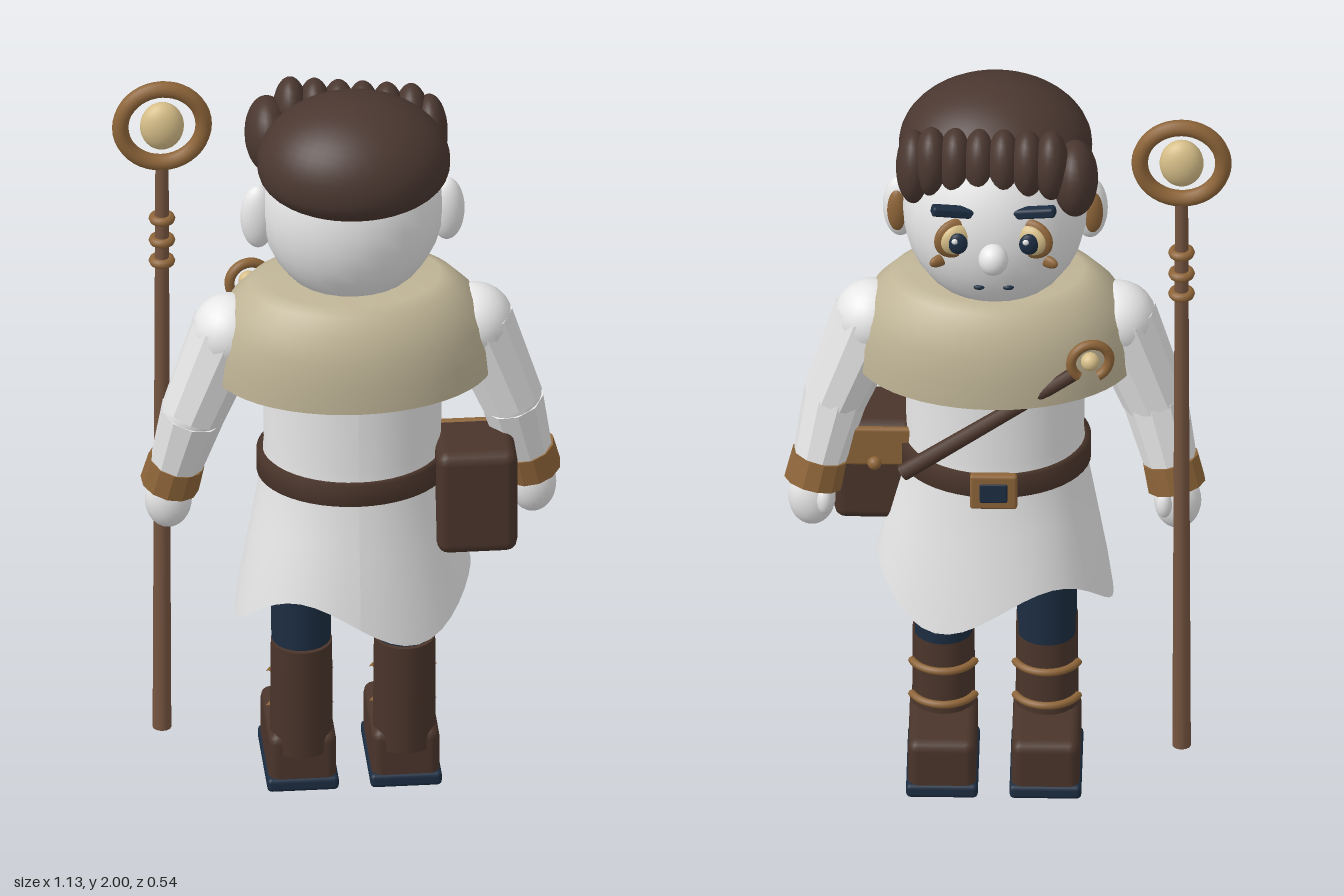
import * as THREE from 'three';
import { RoundedBoxGeometry } from 'three/addons/geometries/RoundedBoxGeometry.js';

const mat = (name, color, double) => {
  const m = new THREE.MeshStandardMaterial({ color });
  m.name = name;
  if (double) m.side = THREE.DoubleSide;
  return m;
};

export function createModel() {
  const white = mat('white', 0xececec, true);
  const cream = mat('cream', 0xbfb496, true);
  const hairBrown = mat('hair brown', 0x4a3730);
  const leather = mat('dark leather', 0x4a352b);
  const navy = mat('navy', 0x1c2d42);
  const tan = mat('tan leather', 0x8e6539);
  const wood = mat('staff wood', 0x765540);
  const gold = mat('pale gold', 0xd6be88);

  const root = new THREE.Group();
  root.name = 'figure';
  const body = new THREE.Group();
  body.name = 'body';
  body.position.x = 0.036;
  root.add(body);

  const add = (name, geo, m, x = 0, y = 0, z = 0) => {
    const mesh = new THREE.Mesh(geo, m);
    mesh.name = name;
    mesh.position.set(x, y, z);
    body.add(mesh);
    return mesh;
  };
  const ball = (name, m, x, y, z, rx, ry = rx, rz = rx) => {
    const b = add(name, new THREE.SphereGeometry(1, 24, 16), m, x, y, z);
    b.scale.set(rx, ry, rz);
    return b;
  };
  const block = (name, m, x, y, z, w, h, d, r) =>
    add(name, new RoundedBoxGeometry(w, h, d, 2, r), m, x, y, z);
  // Tapered rod from point a to point b
  const limb = (name, m, a, b, ra, rb, sides = 16, flat = false) => {
    const p = new THREE.Vector3(...a), q = new THREE.Vector3(...b);
    const dir = q.clone().sub(p);
    let g = new THREE.CylinderGeometry(rb, ra, dir.length(), sides);
    if (flat) { g = g.toNonIndexed(); g.computeVertexNormals(); }
    const c = p.add(q).multiplyScalar(0.5);
    const mesh = add(name, g, m, c.x, c.y, c.z);
    mesh.quaternion.setFromUnitVectors(new THREE.Vector3(0, 1, 0), dir.normalize());
    return mesh;
  };
  // Oval turned shape: profile of [half width, y], squashed in z
  const oval = (name, m, pts, ratio) => {
    const g = new THREE.LatheGeometry(pts.map(p => new THREE.Vector2(...p)), 48);
    g.scale(1, 1, ratio);
    return add(name, g, m, 0, 0, 0.012);
  };

  // Tunic, with a wavy hem of three points
  const tunic = oval('tunic', white, [[0.3, 0.57], [0.285, 0.66], [0.26, 0.78], [0.235, 0.9],
    [0.225, 1.0], [0.228, 1.2], [0.22, 1.4], [0, 1.45]], 0.8);
  const tp = tunic.geometry.attributes.position;
  for (let i = 0; i < tp.count; i++) {
    const y = tp.getY(i);
    const k = Math.max(0, (0.9 - y) / 0.33);
    tp.setY(i, y + 0.066 * k * Math.cos(3 * Math.atan2(tp.getZ(i) / 0.8, tp.getX(i))));
  }
  tunic.geometry.computeVertexNormals();

  // Shoulder cape
  oval('cape', cream, [[0.357, 1.21], [0.354, 1.28], [0.34, 1.35], [0.31, 1.41], [0.265, 1.455],
    [0.225, 1.472], [0, 1.478]], 0.72);

  // Belt and buckle
  oval('belt', leather, [[0.225, 0.912], [0.243, 0.914], [0.243, 0.974], [0.225, 0.976]], 0.86);
  block('buckle', tan, 0, 0.94, -0.203, 0.12, 0.1, 0.026, 0.008);
  block('buckleCentre', navy, 0, 0.94, -0.213, 0.07, 0.055, 0.014, 0.004);

  // Pouch on the hip
  block('pouch', leather, 0.305, 0.875, 0.075, 0.205, 0.29, 0.2, 0.03);
  block('pouchFlap', tan, 0.305, 0.96, -0.028, 0.19, 0.11, 0.02, 0.008);
  ball('pouchButton', tan, 0.305, 0.915, -0.04, 0.018);

  // Wand across the chest, curled at its tip
  limb('wand', leather, [0.23, 0.99, -0.2], [-0.2, 1.3, -0.215], 0.022, 0.018, 12);
  const curl = add('wandCurl', new THREE.TorusGeometry(0.05, 0.013, 10, 28, 5.2), tan, -0.245, 1.34, -0.215);
  curl.rotation.set(0, 0.25, -0.9);
  ball('wandBead', gold, -0.245, 1.34, -0.215, 0.024);

  // Head, ears and face
  ball('head', white, 0, 1.675, -0.01, 0.235, 0.265, 0.212);
  ball('nose', white, 0, 1.655, -0.232, 0.038, 0.042, 0.038);
  for (const s of [-1, 1]) {
    ball('ear', white, s * 0.24, 1.657, 0.016, 0.045, 0.088, 0.036);
    ball('innerEar', tan, s * 0.247, 1.657, -0.004, 0.027, 0.062, 0.022);
    const rim = ball('eyeRim', tan, s * 0.095, 1.695, -0.193, 0.06, 0.057, 0.02);
    rim.rotation.y = s * 0.4;
    ball('eye', gold, s * 0.094, 1.697, -0.203, 0.044, 0.043, 0.022).rotation.y = s * 0.4;
    ball('pupil', navy, s * 0.09, 1.697, -0.224, 0.025, 0.03, 0.014);
    ball('glint', white, s * 0.09 + 0.008, 1.71, -0.236, 0.008, 0.008, 0.005);
    const brow = block('brow', navy, s * 0.1, 1.777, -0.198, 0.12, 0.027, 0.03, 0.008);
    brow.rotation.set(0, s * 0.25, s * 0.22);
    ball('cheek', tan, s * 0.137, 1.615, -0.176, 0.03, 0.017, 0.012).rotation.y = s * 0.6;
    ball('mouthCorner', navy, s * 0.037, 1.545, -0.19, 0.014, 0.007, 0.008);
  }

  // Hair cap: rounded above, flatter below
  const cap = new THREE.SphereGeometry(1, 40, 28);
  const cp = cap.attributes.position;
  for (let i = 0; i < cp.count; i++) {
    const y = cp.getY(i);
    cp.setXYZ(i, cp.getX(i) * 0.245,
      y > 0 ? 0.175 * y : -0.12 * Math.pow(-y, 0.8), cp.getZ(i) * 0.21);
  }
  cap.computeVertexNormals();
  add('hairCap', cap, hairBrown, 0, 1.825, 0.05);

  // Fringe of curls: x, y, z, width, height, depth
  const curls = [[-0.205, 1.825, -0.11, 0.058, 0.1, 0.092]];
  for (let i = 0; i < 6; i++)
    curls.push([-0.145 + i * 0.061, 1.875 - i * 0.003, -0.13 + i * 0.007, 0.045, 0.095, 0.068]);
  curls.push([0.205, 1.832, -0.075, 0.045, 0.1, 0.075]);
  curls.forEach(c => ball('fringeCurl', hairBrown, ...c));

  for (const s of [-1, 1]) {
    // Arms
    const elbow = [s * 0.405, 1.09, 0.005], wrist = [s * 0.455, 0.88, -0.035];
    ball('shoulder', white, s * 0.312, 1.325, 0.012, 0.098);
    limb('upperArm', white, [s * 0.315, 1.33, 0.012], elbow, 0.097, 0.083, 10, true);
    ball('elbow', white, ...elbow, 0.078);
    limb('forearm', white, elbow, wrist, 0.083, 0.064, 10, true);
    limb('cuff', tan, [s * 0.444, 0.932, -0.027], [s * 0.46, 0.86, -0.038], 0.073, 0.076, 12, true);
    ball('hand', white, s * 0.463, 0.815, -0.04, 0.06, 0.08, 0.047);
    ball('thumb', white, s * 0.43, 0.825, -0.08, 0.02, 0.038, 0.02);

    // Legs and boots
    const x = s * 0.131;
    limb('leg', navy, [x, 0.38, 0.02], [x, 0.8, 0.015], 0.075, 0.08, 20);
    limb('bootShaft', leather, [x, 0.12, 0.02], [x, 0.43, 0.03], 0.08, 0.078, 20);
    block('foot', leather, x, 0.088, -0.06, 0.172, 0.168, 0.282, 0.026);
    block('sole', navy, x, 0.031, -0.06, 0.182, 0.038, 0.294, 0.012);
    for (const y of [0.205, 0.305]) {
      const strap = add('bootStrap', new THREE.TorusGeometry(0.086, 0.01, 8, 20, 2.4), tan, x, y, 0.02);
      strap.rotation.set(-Math.PI / 2, 0, Math.PI / 2 - 1.2 - Math.PI / 2 + Math.PI / 2);
      strap.rotation.z = Math.PI / 2 - 1.2;
    }
  }

  // Staff with ringed head
  const sx = -0.474, sz = -0.1;
  limb('staff', wood, [sx, 0.115, sz], [sx, 1.76, sz], 0.024, 0.017, 14);
  for (const y of [1.475, 1.535, 1.598]) {
    const band = add('staffBand', new THREE.TorusGeometry(0.022, 0.012, 8, 20), tan, sx, y, sz);
    band.rotation.x = Math.PI / 2;
  }
  add('staffRing', new THREE.TorusGeometry(0.106, 0.021, 12, 40), tan, sx, 1.867, sz);
  ball('staffOrb', gold, sx, 1.867, sz, 0.056, 0.066, 0.038);

  return root;
}
